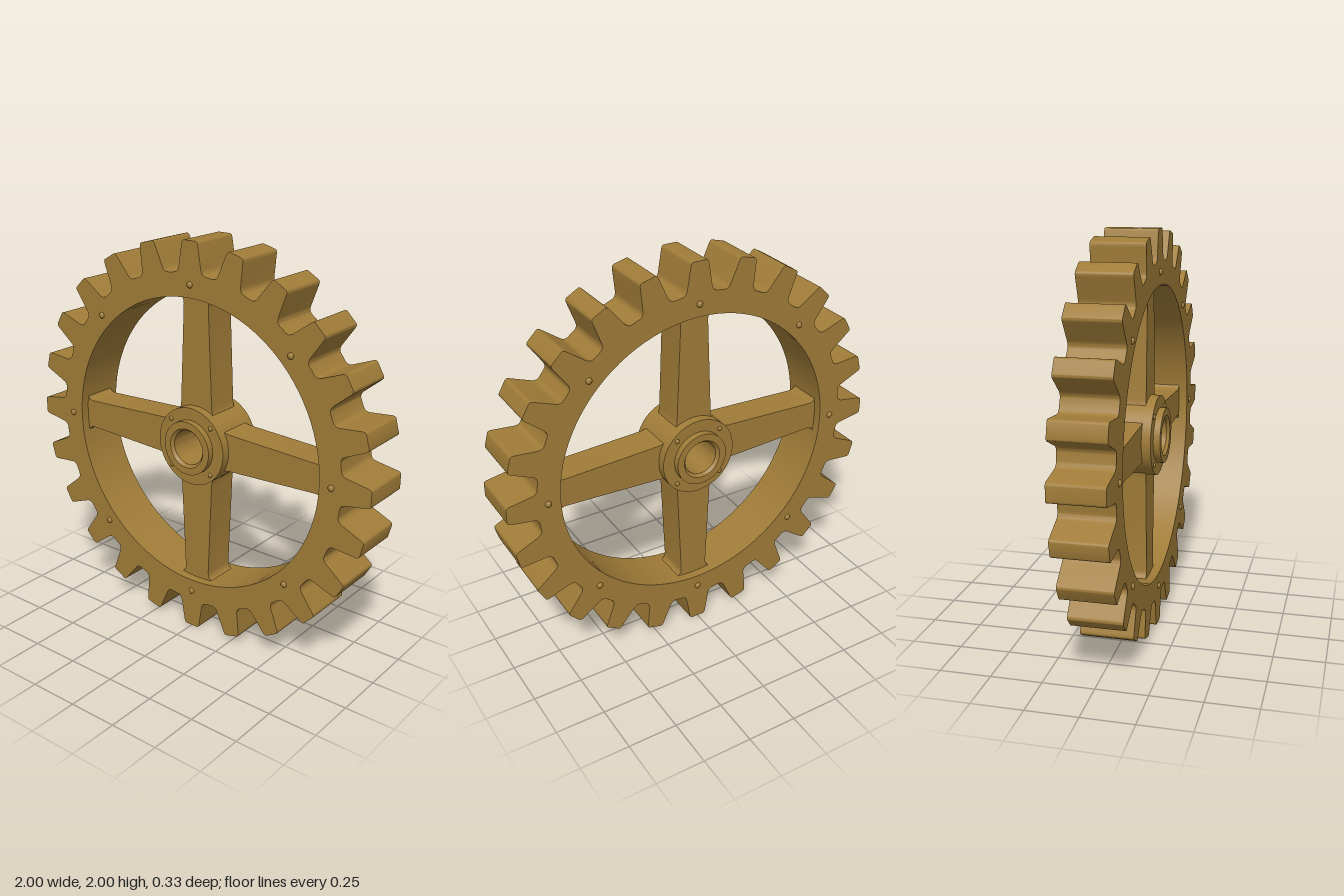
import * as THREE from 'three';
import { toCreasedNormals } from 'three/addons/utils/BufferGeometryUtils.js';

const TEETH = 24;
const RIM_HALF = 0.13;
const SPOKE_HALF = 0.085;

const bronze = new THREE.MeshStandardMaterial({ color: 0xa07c38 });
bronze.name = 'bronze';

function addMesh(parent, name, geometry) {
  const mesh = new THREE.Mesh(geometry, bronze);
  mesh.name = name;
  parent.add(mesh);
  return mesh;
}

// Extrusion centred on z = 0, smooth along curves and sharp at corners
function slab(shape, half, curveSegments) {
  const geo = new THREE.ExtrudeGeometry(shape, { depth: half * 2, bevelEnabled: false, curveSegments });
  geo.translate(0, 0, -half);
  return toCreasedNormals(geo, 0.6);
}

// Toothed ring: one rounded tooth outline repeated around the circle
function rimShape() {
  const shape = new THREE.Shape();
  for (let i = 0; i < TEETH; i++) {
    const a = -(i / TEETH) * Math.PI * 2;
    const c = Math.cos(a), s = Math.sin(a);
    const at = (t, r) => [t * c - r * s, t * s + r * c];
    if (i === 0) shape.moveTo(...at(-0.094, 0.845));
    else shape.lineTo(...at(-0.094, 0.845));
    shape.quadraticCurveTo(...at(-0.07, 0.847), ...at(-0.065, 0.875));
    shape.lineTo(...at(-0.047, 0.983));
    shape.quadraticCurveTo(...at(-0.044, 1), ...at(-0.032, 1));
    shape.lineTo(...at(0.032, 1));
    shape.quadraticCurveTo(...at(0.044, 1), ...at(0.047, 0.983));
    shape.lineTo(...at(0.065, 0.875));
    shape.quadraticCurveTo(...at(0.07, 0.847), ...at(0.094, 0.845));
  }
  shape.closePath();
  const hole = new THREE.Path();
  hole.absarc(0, 0, 0.737, 0, Math.PI * 2, false);
  shape.holes.push(hole);
  return shape;
}

// Tapered spoke with flared ends, pointing up
function spokeShape() {
  const shape = new THREE.Shape();
  shape.moveTo(0.115, 0.14);
  shape.quadraticCurveTo(0.097, 0.165, 0.094, 0.2);
  shape.lineTo(0.073, 0.69);
  shape.quadraticCurveTo(0.073, 0.727, 0.105, 0.734);
  shape.lineTo(0.105, 0.75);
  shape.lineTo(-0.105, 0.75);
  shape.lineTo(-0.105, 0.734);
  shape.quadraticCurveTo(-0.073, 0.727, -0.073, 0.69);
  shape.lineTo(-0.094, 0.2);
  shape.quadraticCurveTo(-0.097, 0.165, -0.115, 0.14);
  shape.closePath();
  return shape;
}

// Hub: flange, raised collar and chamfered bore, turned as one closed profile
function hubGeometry() {
  const profile = [
    [0.087, -0.148], [0.1, -0.163], [0.136, -0.163], [0.136, -RIM_HALF], [0.197, -RIM_HALF],
    [0.197, RIM_HALF], [0.136, RIM_HALF], [0.136, 0.163], [0.1, 0.163], [0.087, 0.148], [0.087, -0.148],
  ].map(([r, y]) => new THREE.Vector2(r, y));
  const geo = new THREE.LatheGeometry(profile, 64);
  geo.rotateX(Math.PI / 2);
  return toCreasedNormals(geo, 0.5);
}

// Ring of domed rivets on both faces
function addRivets(parent, name, count, ringRadius, radius, start) {
  const dome = new THREE.SphereGeometry(radius, 16, 8);
  dome.scale(1, 1, 0.8);
  for (let i = 0; i < count; i++) {
    const a = start + (i / count) * Math.PI * 2;
    for (const side of [1, -1]) {
      addMesh(parent, name, dome)
        .position.set(Math.cos(a) * ringRadius, Math.sin(a) * ringRadius, side * RIM_HALF);
    }
  }
}

export function createModel() {
  const model = new THREE.Group();
  model.name = 'gearWheel';
  const wheel = new THREE.Group();
  wheel.name = 'wheel';
  wheel.position.y = 1;
  model.add(wheel);

  addMesh(wheel, 'toothedRim', slab(rimShape(), RIM_HALF, 64 / 8));
  // Smooth liner for the inside of the rim
  const liner = new THREE.LatheGeometry([
    [0.735, -RIM_HALF], [0.76, -RIM_HALF], [0.76, RIM_HALF], [0.735, RIM_HALF], [0.735, -RIM_HALF],
  ].map(([r, y]) => new THREE.Vector2(r, y)), 96);
  liner.rotateX(Math.PI / 2);
  wheel.remove(wheel.children[0]);
  const rim = rimShape();
  rim.holes[0] = new THREE.Path();
  rim.holes[0].setFromPoints(Array.from({ length: 96 }, (_, i) => {
    const a = (i / 96) * Math.PI * 2;
    return new THREE.Vector2(Math.cos(a) * 0.76, Math.sin(a) * 0.76);
  }));
  addMesh(wheel, 'toothedRim', slab(rim, RIM_HALF, 6));
  addMesh(wheel, 'rimLiner', toCreasedNormals(liner, 0.5));

  const spoke = slab(spokeShape(), SPOKE_HALF, 6);
  for (let i = 0; i < 4; i++) addMesh(wheel, 'spoke', spoke).rotation.z = (i * Math.PI) / 2;

  addMesh(wheel, 'hub', hubGeometry());
  addRivets(wheel, 'rimRivet', 8, 0.797, 0.016, 0);
  addRivets(wheel, 'hubRivet', 4, 0.17, 0.012, Math.PI / 4);

  return model;
}
